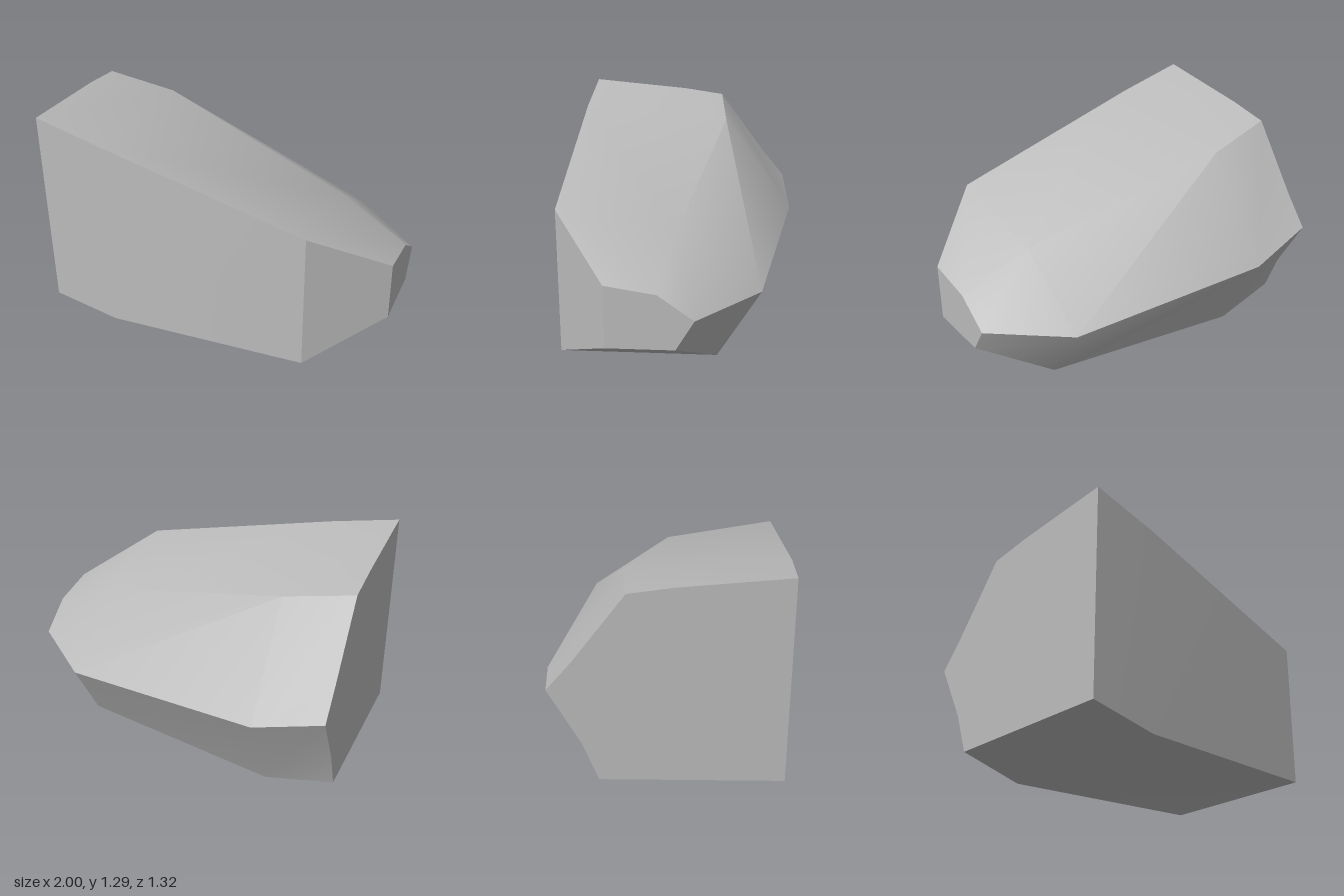
import * as THREE from 'three';
import { toCreasedNormals } from 'three/addons/utils/BufferGeometryUtils.js';

// Cross-sections along x as [z, y]: front top, upper back, rear ridge, rear bottom, front bottom.
const widen = ([ft, ub, rr, rb, fb]) => [ft, ub, ub, rr, rr, rb, rb, fb];
const endLoop = [[0.645, 1.29], [0.05, 1.236], [-0.195, 1.2], [-0.48, 0.81],
  [-0.62, 0.64], [-0.445, 0.305], [-0.36, 0.07], [0.645, 0.065]];
const tipLoop = [[0.35, 0.645], [0.07, 0.6], [-0.125, 0.457], [-0.025, 0.287], [0.35, 0.287]];
const sections = [
  { x: -1, loop: endLoop },
  { x: -0.6, loop: widen([[0.66, 1.2], [-0.235, 1.125], [-0.66, 0.535], [-0.39, 0], [0.66, 0]]) },
  { x: 0.6, loop: widen([[0.66, 0.91], [0, 0.795], [-0.475, 0.457], [-0.23, 0.058], [0.66, 0.058]]) },
  { x: 1, loop: widen(tipLoop) },
];

function rockGeometry() {
  const positions = [];
  const triangle = (a, b, c) => {
    const area = new THREE.Triangle(a, b, c).getArea();
    if (area > 1e-7) for (const p of [a, b, c]) positions.push(p.x, p.y, p.z);
  };
  const place = (x, loop) => loop.map(([z, y]) => new THREE.Vector3(x, y, z));

  // Skin between neighbouring sections
  const rings = sections.map((s) => place(s.x, s.loop));
  for (let i = 0; i < rings.length - 1; i++) {
    const near = rings[i], far = rings[i + 1], n = near.length;
    for (let k = 0; k < n; k++) {
      const m = (k + 1) % n;
      triangle(near[k], far[k], far[m]);
      triangle(near[k], far[m], near[m]);
    }
  }

  // Flat end faces
  const cap = (x, loop, flip) => {
    const pts = place(x, loop);
    const faces = THREE.ShapeUtils.triangulateShape(loop.map(([z, y]) => new THREE.Vector2(z, y)), []);
    for (const [a, b, c] of faces) {
      if (flip) triangle(pts[a], pts[c], pts[b]);
      else triangle(pts[a], pts[b], pts[c]);
    }
  };
  cap(-1, endLoop, false);
  cap(1, tipLoop, true);

  const geometry = new THREE.BufferGeometry();
  geometry.setAttribute('position', new THREE.Float32BufferAttribute(positions, 3));
  return toCreasedNormals(geometry, THREE.MathUtils.degToRad(35));
}

export function createModel() {
  const group = new THREE.Group();
  group.name = 'rock';
  const stone = new THREE.MeshStandardMaterial({ color: 0xbbbbbb });
  stone.name = 'grey stone';
  const rock = new THREE.Mesh(rockGeometry(), stone);
  rock.name = 'rockBody';
  group.add(rock);
  return group;
}
